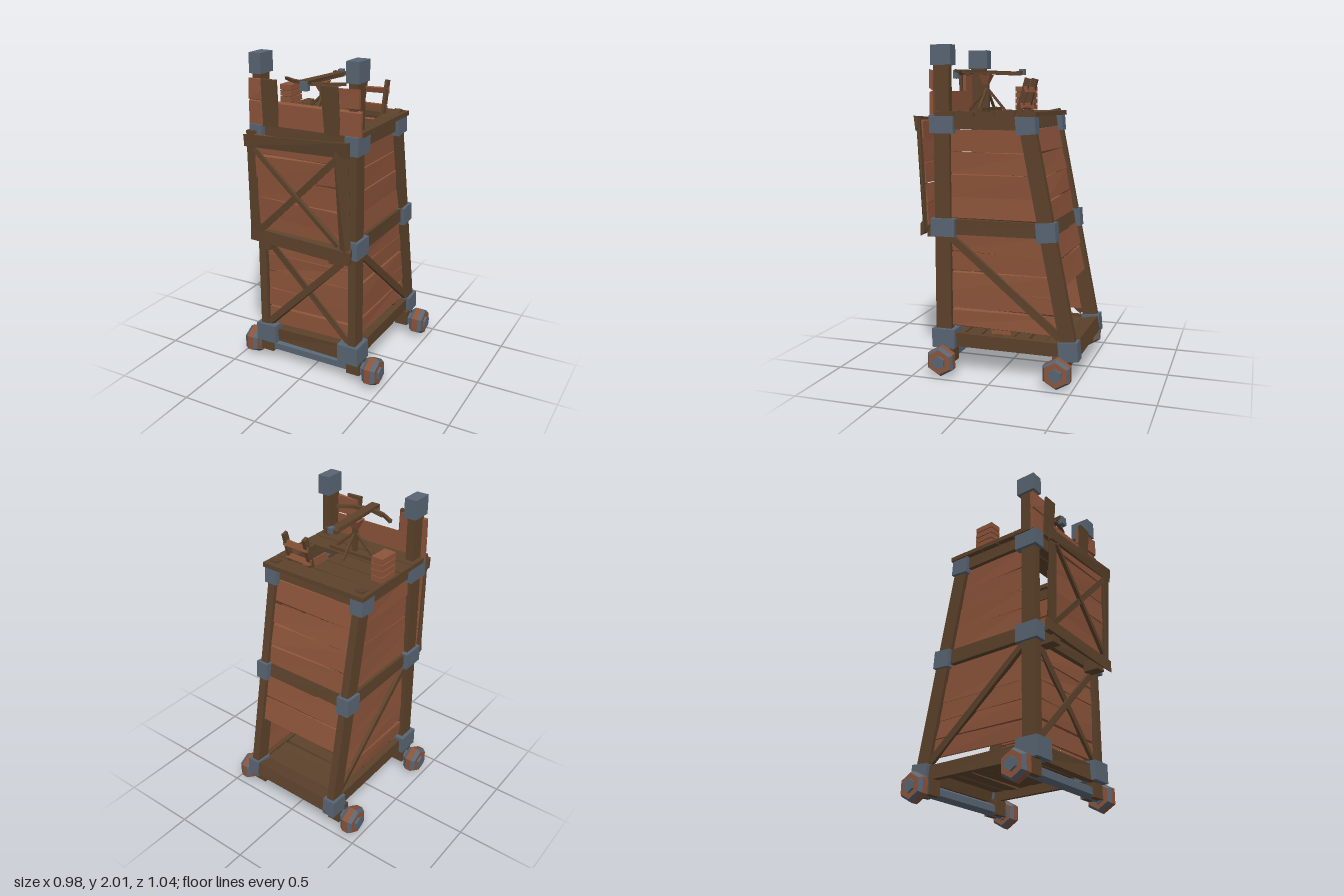
import * as THREE from 'three';

const paint = (name, color) => {
  const m = new THREE.MeshStandardMaterial({ color });
  m.name = name;
  m.flatShading = true;
  return m;
};

export function createModel() {
  const tower = new THREE.Group();
  tower.name = 'siegeTower';
  const frameWood = paint('darkWood', 0x5c422b);
  const plankWood = paint('redWood', 0x8c543a);
  const iron = paint('iron', 0x586573);

  let seed = 7;
  const rnd = () => ((seed = (seed * 16807) % 2147483647) / 2147483647) * 2 - 1;
  const V = (a) => new THREE.Vector3(...a);
  const group = (name) => {
    const g = new THREE.Group();
    g.name = name;
    tower.add(g);
    return g;
  };
  const add = (parent, name, geo, mat) => {
    const m = new THREE.Mesh(geo, mat);
    m.name = name;
    parent.add(m);
    return m;
  };
  const box = (parent, name, mat, pos, size, tilt = 0) => {
    const m = add(parent, name, new THREE.BoxGeometry(...size), mat);
    m.position.set(...pos);
    m.rotation.x = tilt;
    return m;
  };
  // Rough-hewn board from p to q; its broad face looks along normal
  const board = (parent, name, mat, p, q, width, thick, normal, rough = 0.004) => {
    const a = V(p), b = V(q), X = b.clone().sub(a), len = X.length();
    X.normalize();
    const Y = V(normal).cross(X).normalize();
    const Z = X.clone().cross(Y);
    const geo = new THREE.BoxGeometry(len, width, thick);
    const off = Array.from({ length: 8 }, () => [rnd() * rough, rnd() * rough * 0.5]);
    const pos = geo.attributes.position;
    for (let i = 0; i < pos.count; i++) {
      const k = (pos.getX(i) > 0 ? 1 : 0) + (pos.getY(i) > 0 ? 2 : 0) + (pos.getZ(i) > 0 ? 4 : 0);
      pos.setY(i, pos.getY(i) + off[k][0]);
      pos.setZ(i, pos.getZ(i) + off[k][1]);
    }
    geo.applyMatrix4(new THREE.Matrix4().makeBasis(X, Y, Z).setPosition(a.add(b).multiplyScalar(0.5)));
    geo.computeVertexNormals();
    return add(parent, name, geo, mat);
  };

  const backZ = (y) => -0.44 + (y - 0.25) * 0.2; // leaning rear line
  const lean = Math.atan(0.2);
  const sides = [-1, 1];

  // Corner posts, iron sleeves and caps
  const frame = group('frame');
  for (const s of sides) {
    const x = s * 0.315;
    box(frame, 'frontPost', frameWood, [x, 1.03, 0.35], [0.05, 1.78, 0.1]);
    board(frame, 'backPost', frameWood, [x, 0.14, backZ(0.14)], [x, 1.61, backZ(1.61)], 0.095, 0.05, [1, 0, 0], 0);
    box(frame, 'postCap', iron, [s * 0.317, 1.94, 0.345], [0.08, 0.12, 0.13]);
    box(frame, 'frontFoot', iron, [s * 0.295, 0.2, 0.345], [0.14, 0.12, 0.15]);
    for (const y of [0.9, 1.53])
      box(frame, 'frontSleeve', iron, [s * 0.318, y, 0.345], [0.085, 0.11, 0.155]);
    for (const y of [0.19, 0.9, 1.53])
      box(frame, 'backSleeve', iron, [s * 0.318, y, backZ(y)], [0.085, 0.115, 0.12], lean * 0.4);
    for (const y of [0.19, 0.905, 1.545])
      board(frame, 'sideBeam', frameWood, [x, y, 0.32], [x, y, backZ(y)], 0.09, 0.04, [1, 0, 0]);
  }
  for (const y of [0.19, 0.905, 1.545]) {
    board(frame, 'frontBeam', frameWood, [-0.3, y, 0.36], [0.3, y, 0.36], 0.09, 0.05, [0, 0, 1], 0.008);
    board(frame, 'backBeam', frameWood, [-0.3, y, backZ(y)], [0.3, y, backZ(y)], 0.09, y < 0.5 ? 0.11 : 0.05, [0, 0.2, -1]);
  }

  // Plank walls
  const walls = group('walls');
  const rows = (y0, y1, n, f) => {
    const h = (y1 - y0) / n;
    for (let i = 0; i < n; i++) f(y0 + h * (i + 0.5), h - 0.007);
  };
  for (const [y0, y1, n] of [[0.27, 0.86, 5], [0.95, 1.5, 4]]) {
    for (const s of sides) {
      rows(y0, y1, n, (y, h) =>
        board(walls, 'sidePlank', plankWood, [s * 0.305, y, 0.33], [s * 0.305, y, backZ(y) + 0.02], h, 0.018, [s, 0, 0], 0.01));
    }
  }
  rows(0.27, 0.86, 5, (y, h) =>
    board(walls, 'frontPlank', plankWood, [-0.3, y, 0.36], [0.3, y, 0.36], h, 0.018, [0, 0, 1], 0.01));
  for (const [y0, y1, n] of [[0.55, 0.87, 2], [0.94, 1.5, 4]])
    rows(y0, y1, n, (y, h) =>
      board(walls, 'backPlank', plankWood, [-0.3, y, backZ(y) - 0.015], [0.3, y, backZ(y) - 0.015], h, 0.018, [0, 0.2, -1], 0.012));

  // Diagonal braces on the lower storey
  for (const s of sides) {
    board(walls, 'sideBrace', frameWood, [s * 0.322, 0.85, 0.31], [s * 0.322, 0.26, -0.39], 0.045, 0.02, [s, 0, 0], 0.008);
    board(walls, 'frontBrace', frameWood, [s * 0.29, 0.85, 0.377 + s * 0.004], [-s * 0.29, 0.26, 0.377 + s * 0.004], 0.04, 0.02, [0, 0, 1], 0.008);
  }

  // Floors
  const floors = group('floors');
  const deck = (name, y, x0, x1, z0, z1, rough = 0.002) =>
    board(floors, name, frameWood, [x0, y, (z0 + z1) / 2], [x1, y, (z0 + z1) / 2], z1 - z0 - 0.005, 0.028, [0, 1, 0], rough);
  for (let i = 0; i < 7; i++) deck('lowerFloorPlank', 0.21, -0.29, 0.29, -0.4 + i * 0.105, -0.305 + i * 0.105, 0.012);
  for (let i = 0; i < 5; i++) deck('middleFloorPlank', 0.92, -0.29, 0.29, -0.29 + i * 0.126, -0.165 + i * 0.126);
  for (let i = 0; i < 5; i++) {
    const z0 = -0.252 + i * 0.127, z1 = z0 + 0.127;
    if (i === 1 || i === 2) {
      // stair hatch
      deck('topFloorPlank', 1.592, -0.37, 0.085, z0, z1);
      deck('topFloorPlank', 1.592, 0.272, 0.37, z0, z1);
    } else deck('topFloorPlank', 1.592, -0.37, 0.37, z0, z1);
  }

  // Ladder through the hatch
  const ladder = group('ladder');
  const ladderZ = (y) => 0.07 - (y - 0.93) * 0.276;
  for (const x of [0.105, 0.255])
    board(ladder, 'ladderRail', frameWood, [x, 0.93, ladderZ(0.93)], [x, 1.8, ladderZ(1.8)], 0.035, 0.022, [1, 0, 0]);
  for (let i = 0; i < 9; i++) {
    const y = 0.99 + i * 0.093;
    board(ladder, 'ladderRung', plankWood, [0.09, y, ladderZ(y) - 0.01], [0.27, y, ladderZ(y) - 0.01], 0.035, 0.016, [0, 0.3, -1]);
  }

  // Front parapet
  const parapet = group('parapet');
  board(parapet, 'parapetBoard', plankWood, [-0.365, 1.655, 0.4], [0.37, 1.655, 0.4], 0.14, 0.02, [0, 0, 1], 0.006);
  board(parapet, 'parapetBoard', plankWood, [-0.365, 1.785, 0.402], [-0.18, 1.785, 0.402], 0.12, 0.018, [0, 0, 1], 0.012);
  board(parapet, 'parapetBoard', plankWood, [0.15, 1.79, 0.402], [0.36, 1.79, 0.402], 0.11, 0.018, [0, 0, 1], 0.012);
  for (const x of [-0.215, 0.19])
    board(parapet, 'parapetStake', frameWood, [x, 1.58, 0.415], [x, 1.86, 0.43], 0.095, 0.02, [0, 0, 1], 0.008);

  // Drawbridge, raised
  const bridge = group('drawbridge');
  const bridgeZ = (y) => 0.462 + (y - 0.87) * 0.052;
  const out = [0, -0.052, 1];
  rows(0.9, 1.56, 5, (y, h) =>
    board(bridge, 'bridgePlank', plankWood, [-0.31, y, bridgeZ(y)], [0.31, y, bridgeZ(y)], h, 0.016, out, 0.012));
  for (const [y, t] of [[0.9, 0.02], [1.53, -0.02]])
    board(bridge, 'bridgeRail', frameWood, [-0.335, y + t, bridgeZ(y) + 0.016], [0.35, y - t * 0.5, bridgeZ(y) + 0.016], 0.085, 0.024, out, 0.012);
  for (const s of sides) {
    board(bridge, 'bridgeStile', frameWood, [s * 0.3, 0.88, bridgeZ(0.88) + 0.012], [s * 0.3, 1.57, bridgeZ(1.57) + 0.012], 0.06, 0.022, out, 0.016);
    const d = 0.018 + s * 0.003;
    board(bridge, 'bridgeBrace', frameWood, [s * 0.27, 0.95, bridgeZ(0.95) + d], [-s * 0.27, 1.47, bridgeZ(1.47) + d], 0.035, 0.02, out, 0.008);
    box(bridge, 'hinge', frameWood, [s * 0.24, 0.86, 0.43], [0.075, 0.07, 0.1]);
  }

  // Crates of slatted wood
  const crates = group('crates');
  for (const [x, y, z] of [[-0.32, 1.606, 0.015], [0.22, 0.224, 0], [0.03, 0.224, 0]]) {
    box(crates, 'crateCore', frameWood, [x, y + 0.075, z], [0.06, 0.14, 0.115]);
    for (let i = 0; i < 4; i++)
      box(crates, 'crateSlat', plankWood, [x, y + 0.02 + i * 0.039, z], [0.078, 0.033, 0.13]).rotation.y = rnd() * 0.04;
  }

  // Bolt thrower on the top deck
  const thrower = group('boltThrower');
  box(thrower, 'throwerBase', frameWood, [-0.015, 1.615, 0.18], [0.38, 0.025, 0.06]);
  box(thrower, 'throwerPost', frameWood, [0, 1.7, 0.18], [0.028, 0.19, 0.028]);
  const head = add(thrower, 'throwerHead', new THREE.CylinderGeometry(0.055, 0.022, 0.06, 4, 1).rotateY(Math.PI / 4), plankWood);
  head.position.set(0, 1.8, 0.185);
  board(thrower, 'throwerStock', frameWood, [0, 1.855, 0.39], [0, 1.835, -0.04], 0.055, 0.024, [0, 1, 0], 0.003);
  box(thrower, 'throwerGrip', frameWood, [0, 1.84, -0.045], [0.09, 0.02, 0.03]);
  box(thrower, 'throwerWinch', iron, [0, 1.845, -0.055], [0.03, 0.035, 0.035]);
  box(thrower, 'throwerTip', iron, [0, 1.835, 0.385], [0.05, 0.055, 0.03]);
  for (const s of sides) {
    board(thrower, 'bowArm', frameWood, [0, 1.84, 0.345], [s * 0.11, 1.84, 0.315], 0.025, 0.02, [0, 1, 0]);
    board(thrower, 'bowArm', frameWood, [s * 0.11, 1.84, 0.315], [s * 0.2, 1.84, 0.26], 0.018, 0.018, [0, 1, 0]);
    board(thrower, 'throwerStrut', frameWood, [0, 1.75, 0.18], [0, 1.61, 0.18 + s * 0.12], 0.014, 0.014, [1, 0, 0], 0);
    board(thrower, 'throwerStrut', frameWood, [0, 1.75, 0.18], [s * 0.14, 1.62, 0.18], 0.014, 0.014, [0, 0, 1], 0);
  }

  // Axles and six-sided wheels, iron-edged
  const running = group('wheels');
  const ring = (r0, x0, r1, x1) => {
    const g = new THREE.CylinderGeometry(r1, r0, Math.max(x1 - x0, 0.0005), 6, 1, true);
    return g.rotateY(Math.PI / 2).translate(0, (x0 + x1) / 2, 0).rotateZ(-Math.PI / 2);
  };
  for (const z of [0.33, -0.405]) {
    const axle = add(running, 'axle', new THREE.CylinderGeometry(0.042, 0.042, 0.8, 6).rotateY(Math.PI / 2).rotateZ(Math.PI / 2), iron);
    axle.position.set(0, 0.085, z);
    for (const s of sides) {
      box(running, 'axleBlock', frameWood, [s * 0.315, 0.1, z], [0.09, 0.1, 0.1]);
      const wheel = new THREE.Group();
      wheel.name = 'wheel';
      add(wheel, 'tread', ring(0.095, -0.02, 0.095, 0.02), plankWood);
      add(wheel, 'outerRim', ring(0.095, 0.02, 0.078, 0.045), iron);
      add(wheel, 'innerRim', ring(0.078, -0.045, 0.095, -0.02), iron);
      add(wheel, 'wheelDisc', new THREE.CylinderGeometry(0.078, 0.078, 0.09, 6).rotateY(Math.PI / 2).rotateZ(-Math.PI / 2), plankWood);
      add(wheel, 'hub', new THREE.CylinderGeometry(0.042, 0.05, 0.12, 6).rotateY(Math.PI / 2).rotateZ(-Math.PI / 2), iron);
      wheel.position.set(s * 0.43, 0.083, z);
      wheel.rotation.y = s < 0 ? Math.PI : 0;
      running.add(wheel);
    }
  }
  return tower;
}
